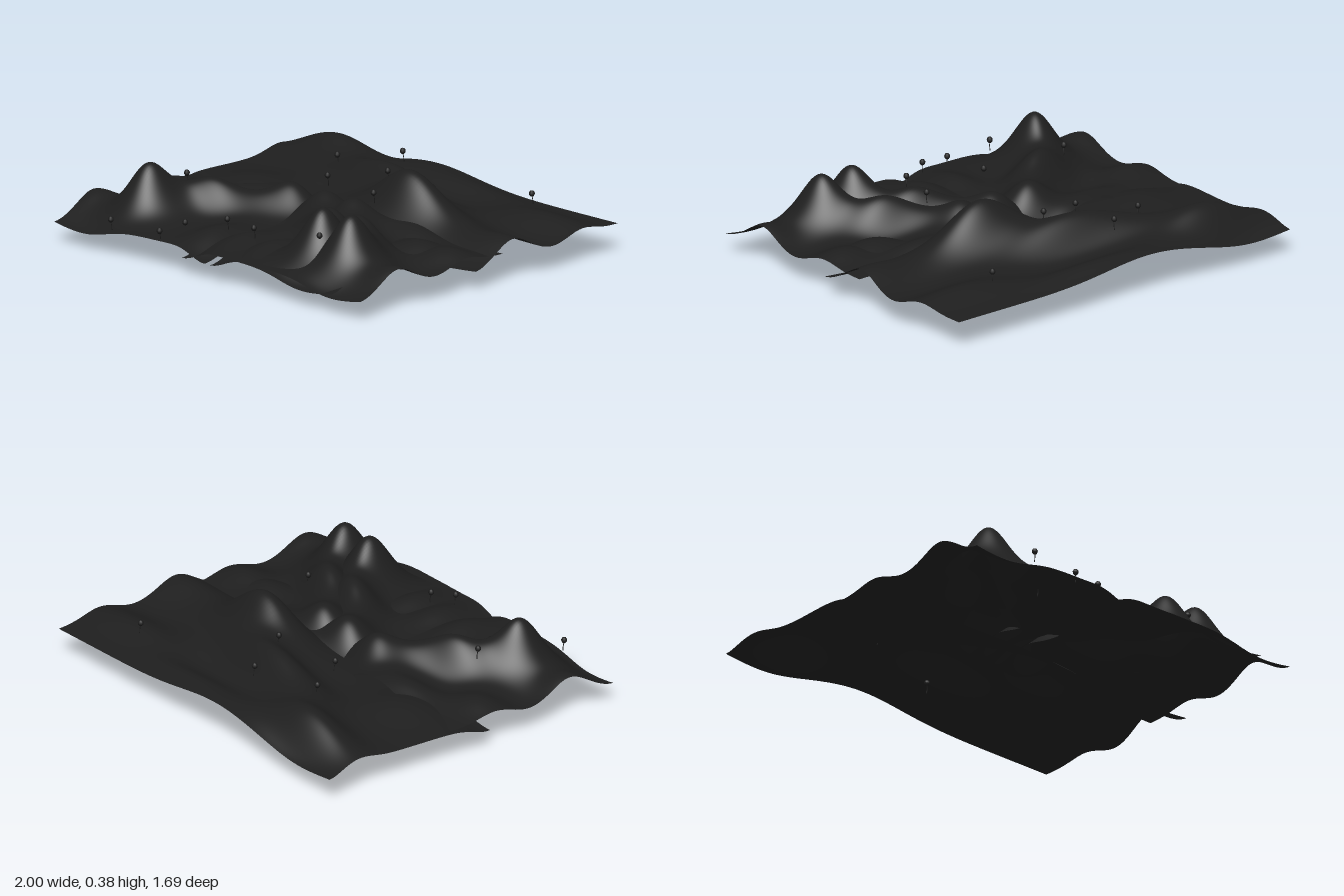
import * as THREE from 'three';

// Hills and dips of the shared terrain: u, v, spread in u, spread in v, height
const BUMPS = [
  [0.345, 0.30, 0.135, 0.13, 0.125], // main peak, foot
  [0.345, 0.30, 0.075, 0.085, 0.118], // main peak, top
  [0.43, 0.43, 0.09, 0.08, 0.045],  // ridge to the second hill
  [0.54, 0.55, 0.12, 0.08, 0.145],  // second hill
  [0.68, 0.66, 0.10, 0.08, 0.068],  // saddle
  [0.82, 0.805, 0.105, 0.095, 0.142], // third hill
  [0.83, 0.27, 0.07, 0.13, 0.045],  // low front ridge
  [0.02, 0.27, 0.08, 0.09, 0.065],
  [0.06, 0.52, 0.10, 0.08, -0.02],
  [0.13, 0.74, 0.12, 0.09, 0.055],
  [0.36, 0.70, 0.09, 0.07, -0.012],
  [0.42, 0.88, 0.12, 0.06, 0.035],
  [0.22, 0.0, 0.15, 0.08, -0.058],
  [1.0, 0.0, 0.09, 0.1, -0.05],
  [0.0, 0.0, 0.1, 0.1, -0.018],
  [0.58, 1.0, 0.12, 0.12, 0.058],
  [0.87, 1.0, 0.1, 0.07, -0.045],
];

function heightAt(u, v) {
  let y = 0.132;
  for (const [cu, cv, su, sv, h] of BUMPS) {
    y += h * Math.exp(-0.5 * (((u - cu) / su) ** 2 + ((v - cv) / sv) ** 2));
  }
  return y;
}

export function createModel() {
  const group = new THREE.Group();
  const ground = new THREE.MeshStandardMaterial({ color: 0x1e1e1e, side: THREE.DoubleSide });
  ground.name = 'charcoal ground';
  const plant = new THREE.MeshStandardMaterial({ color: 0x1c1c1c });
  plant.name = 'dark plant';

  // One sheet of terrain; mirrored sheets measure u from their right edge
  function sheet(name, x0, x1, zFront, zBack, mirrored, sway) {
    const geo = new THREE.PlaneGeometry(1, 1, 90, 90).rotateX(-Math.PI / 2);
    const p = geo.attributes.position;
    for (let i = 0; i < p.count; i++) {
      const s = p.getX(i) + 0.5;
      const v = 0.5 - p.getZ(i);
      const u = mirrored ? 1 - s : s;
      p.setXYZ(
        i,
        x0 + (x1 - x0) * s + sway * Math.sin(v * 7 - 2.8),
        heightAt(u, v),
        zFront + (zBack - zFront) * v + 0.004 * Math.sin(u * 6)
      );
    }
    geo.computeVertexNormals();
    const mesh = new THREE.Mesh(geo, ground);
    mesh.name = name;
    group.add(mesh);
  }
  sheet('backHills', -0.99, 0.99, 0.1, -0.84, true, 0.01);
  sheet('frontLeftHills', 0.01, 0.96, 0.83, -0.11, true, 0.004);
  sheet('frontMiddleHills', -0.17, 0.78, 0.83, -0.11, true, 0.004);
  sheet('frontRightHills', -0.98, -0.03, 0.83, -0.11, false, -0.004);

  // Small plants with a domed cap on a thin bent stem: x, cap height, z
  const capGeo = new THREE.LatheGeometry(
    [[0, -0.01], [0.007, -0.012], [0.013, -0.004], [0.014, 0.004], [0.009, 0.013], [0, 0.016]]
      .map(([r, y]) => new THREE.Vector2(r, y)), 12);
  const stemGeo = new THREE.TubeGeometry(new THREE.CatmullRomCurve3([
    new THREE.Vector3(0, -0.008, 0),
    new THREE.Vector3(0.003, -0.03, -0.003),
    new THREE.Vector3(0.002, -0.05, -0.005),
  ]), 6, 0.002, 5);
  const spots = [
    [-0.63, 0.29, 0.32], [-0.42, 0.26, -0.45], [-0.15, 0.3, -0.6], [0.03, 0.3, -0.315],
    [-0.25, 0.245, -0.21], [0.62, 0.24, -0.65], [0.36, 0.35, 0.12], [-0.38, 0.16, 0.59],
    [-0.06, 0.25, 0.645], [-0.34, 0.17, 0.8], [-0.62, 0.175, 0.83], [0.07, 0.225, 0.605],
    [0.51, 0.28, 0.63], [-0.2, 0.053, -0.355],
  ];
  for (const [x, y, z] of spots) {
    const bud = new THREE.Group();
    bud.name = 'plant';
    const cap = new THREE.Mesh(capGeo, plant);
    cap.name = 'plantCap';
    const stem = new THREE.Mesh(stemGeo, plant);
    stem.name = 'plantStem';
    bud.add(cap, stem);
    bud.position.set(x, y, z);
    group.add(bud);
  }
  return group;
}
